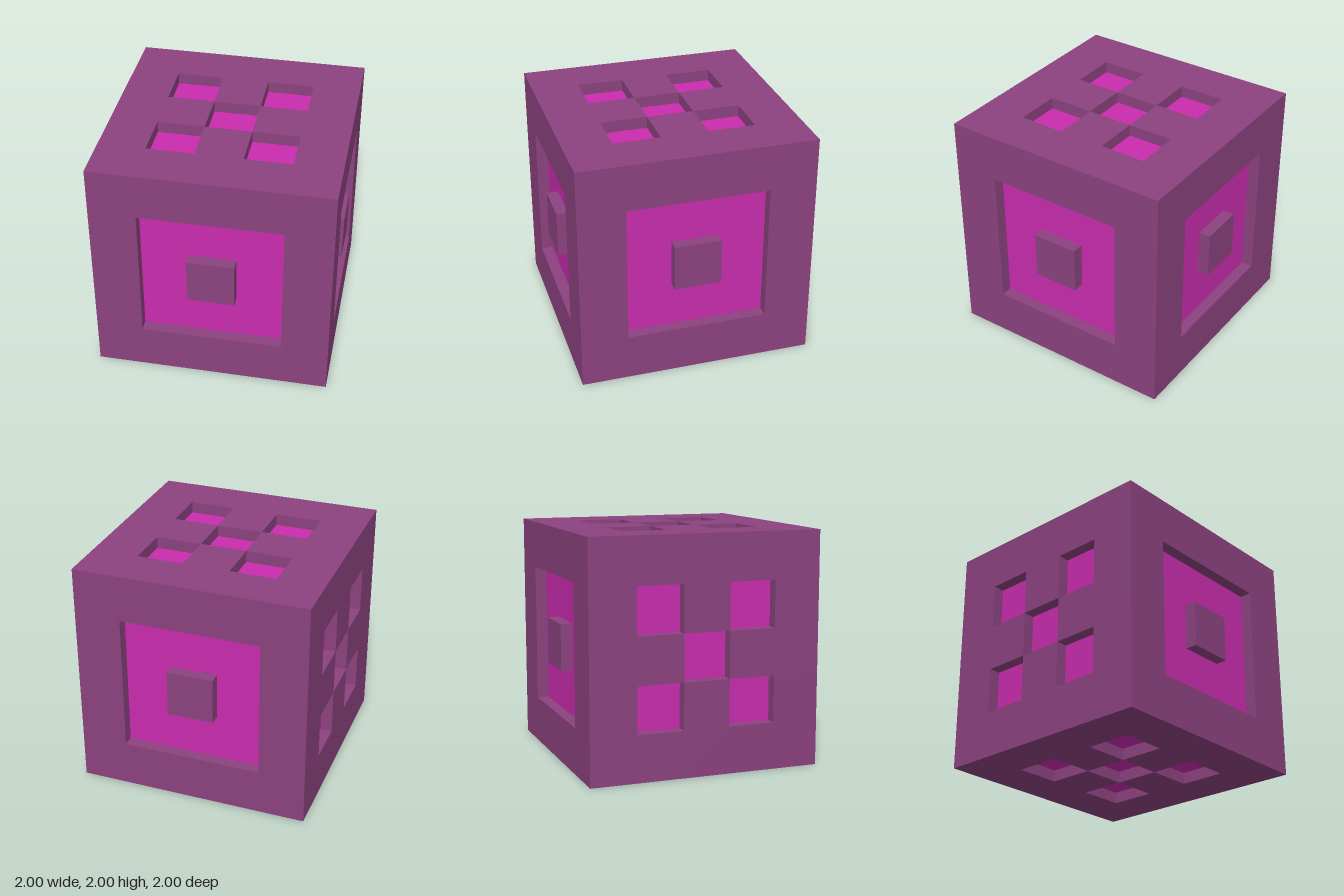
import * as THREE from 'three';
import { mergeGeometries } from 'three/addons/utils/BufferGeometryUtils.js';

const CELL = 0.4;   // each face is a 5 x 5 grid of square cells
const DEPTH = 0.1;  // depth of the sunken cells

// '#' marks a sunken cell
const RING = ['.....', '.###.', '.#.#.', '.###.', '.....'];
const FIVE = ['.....', '.#.#.', '..#..', '.#.#.', '.....'];

const shellMaterial = new THREE.MeshStandardMaterial({ color: 0x8c427f });
const floorMaterial = new THREE.MeshStandardMaterial({ color: 0xc92cae });

// One cube face looking along +z: raised cells, pit walls and pit floors
function createFace(name, pattern) {
  const shell = [];
  const floors = [];
  pattern.forEach((row, r) => {
    [...row].forEach((mark, c) => {
      const x = (c - 2) * CELL;
      const y = (2 - r) * CELL;
      const sunk = mark === '#';
      const tile = new THREE.PlaneGeometry(CELL, CELL);
      (sunk ? floors : shell).push(tile.translate(x, y, sunk ? 1 - DEPTH : 1));
      if (!sunk) return;

      // walls towards raised neighbours, facing into the pit
      [[1, 0], [0, 1], [-1, 0], [0, -1]].forEach(([dx, dy], i) => {
        if (pattern[r - dy][c + dx] === '#') return;
        shell.push(new THREE.PlaneGeometry(DEPTH, CELL)
          .rotateY(-Math.PI / 2)
          .translate(CELL / 2, 0, 1 - DEPTH / 2)
          .rotateZ(i * Math.PI / 2)
          .translate(x, y, 0));
      });
    });
  });

  const face = new THREE.Group();
  face.name = name;
  const shellMesh = new THREE.Mesh(mergeGeometries(shell), shellMaterial);
  shellMesh.name = name + 'Shell';
  const floorMesh = new THREE.Mesh(mergeGeometries(floors), floorMaterial);
  floorMesh.name = name + 'RecessFloor';
  face.add(shellMesh, floorMesh);
  return face;
}

export function createModel() {
  const cube = new THREE.Group();
  cube.name = 'recessedCube';
  const q = Math.PI / 2;

  // name, pattern, rotation about x, rotation about y
  const faces = [
    ['frontFace', RING, 0, 0],
    ['backFace', RING, 0, 2 * q],
    ['positiveXFace', RING, 0, q],
    ['negativeXFace', FIVE, 0, -q],
    ['topFace', FIVE, -q, 0],
    ['bottomFace', FIVE, q, 0],
  ];
  for (const [name, pattern, rx, ry] of faces) {
    const face = createFace(name, pattern);
    face.rotation.set(rx, ry, 0);
    cube.add(face);
  }
  cube.position.y = 1;

  const model = new THREE.Group();
  model.name = 'model';
  model.add(cube);
  return model;
}
